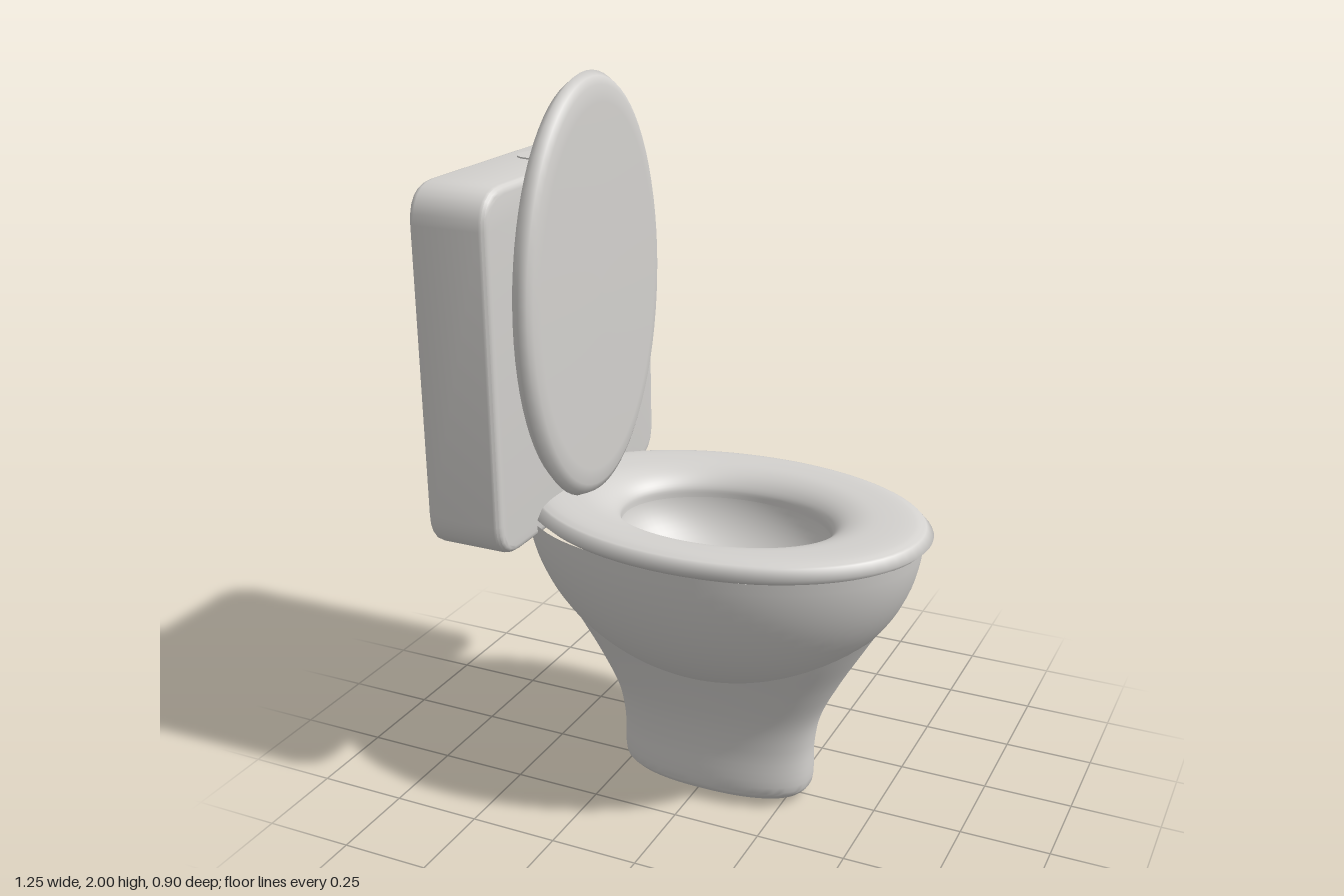
import * as THREE from 'three';
import { toCreasedNormals } from 'three/addons/utils/BufferGeometryUtils.js';

// Skin a stack of oval rings [radiusX, y, radiusZ]; power > 2 squares the oval off
function loft(rings, power = 2, segs = 72) {
  const pos = [], idx = [];
  const bend = v => Math.sign(v) * Math.abs(v) ** (2 / power);
  rings.forEach(([rx, y, rz], r) => {
    for (let i = 0; i < segs; i++) {
      const a = (i / segs) * Math.PI * 2;
      pos.push(rx * bend(Math.cos(a)), y, rz * bend(Math.sin(a)));
      if (r === rings.length - 1) continue;
      const p = r * segs + i, n = r * segs + (i + 1) % segs;
      idx.push(p, p + segs, n, n, p + segs, n + segs);
    }
  });
  const geo = new THREE.BufferGeometry();
  geo.setAttribute('position', new THREE.Float32BufferAttribute(pos, 3));
  geo.setIndex(idx);
  geo.computeVertexNormals();
  return geo;
}

// Round off a coarse list of rings
const smooth = (rings, n) =>
  new THREE.CatmullRomCurve3(rings.map(r => new THREE.Vector3(...r)), false, 'centripetal')
    .getPoints(n).map(v => v.toArray());

export function createModel() {
  const group = new THREE.Group();
  const ceramic = new THREE.MeshStandardMaterial({ color: 0xd4d2cf });
  ceramic.name = 'ceramic';
  const add = (name, geo, x, y, z) => {
    const mesh = new THREE.Mesh(geo, ceramic);
    mesh.name = name;
    mesh.position.set(x, y, z);
    group.add(mesh);
    return mesh;
  };

  // Pedestal: narrow foot flaring up into the bowl
  const foot = [[0.001, 0, 0.001], [0.15, 0.006, 0.06], [0.262, 0.02, 0.112]];
  const stem = smooth([
    [0.262, 0.02, 0.112], [0.283, 0.045, 0.13], [0.288, 0.17, 0.132], [0.305, 0.26, 0.143],
    [0.362, 0.38, 0.178], [0.437, 0.51, 0.225], [0.505, 0.63, 0.255], [0.555, 0.76, 0.26],
  ], 40);
  add('pedestal', toCreasedNormals(loft([...foot, ...stem.slice(1)], 2.3), 0.6), 0.027, 0, 0.012);

  // Bowl: lower part of an ellipsoid
  const bowl = [];
  for (let i = 0; i <= 24; i++) {
    const a = 0.01 + (i / 24) * 1.51;
    bowl.push([0.568 * Math.sin(a), 0.84 - 0.49 * Math.cos(a), 0.388 * Math.sin(a)]);
  }
  add('bowl', loft(bowl), 0.03, 0, 0.01);

  // Seat ring, sharp at the outside and rolling down into the opening
  const seatTop = smooth([
    [0.56, 0.853, 0.38], [0.53, 0.861, 0.355], [0.45, 0.861, 0.31], [0.38, 0.853, 0.266],
    [0.33, 0.832, 0.232], [0.305, 0.805, 0.213], [0.302, 0.78, 0.21],
  ], 24);
  add('seat', loft([[0.48, 0.805, 0.3], [0.555, 0.806, 0.375], [0.58, 0.83, 0.4], ...seatTop]), 0.04, 0, 0);

  // Hollow inside the bowl
  const hollow = [];
  for (let i = 0; i <= 16; i++) {
    const a = (i / 16) * 1.56;
    hollow.push([0.315 * Math.cos(a), 0.8 - 0.2 * Math.sin(a), 0.22 * Math.cos(a)]);
  }
  add('bowlInside', loft(hollow), 0.04, 0, 0);

  // Raised lid: a thin oval shell standing on edge
  const lidRings = [
    [0.001, -0.036, 0.001], [0.42, -0.036, 0.27], [0.52, -0.034, 0.335], [0.56, -0.022, 0.362],
    [0.58, 0.003, 0.379], [0.567, 0.022, 0.366], [0.545, 0.031, 0.35], [0.5, 0.036, 0.32], [0.001, 0.037, 0.001],
  ];
  add('lid', loft(lidRings), -0.349, 1.42, 0.027).rotation.z = -Math.PI / 2 - 0.008;

  // Tank: rounded slab with softened edges
  const w = 0.43, h = 0.47, r = 0.08, bevel = 0.02;
  const outline = new THREE.Shape();
  outline.moveTo(w, -h + r);
  outline.lineTo(w, h - r).quadraticCurveTo(w, h, w - r, h);
  outline.lineTo(-w + r, h).quadraticCurveTo(-w, h, -w, h - r);
  outline.lineTo(-w, -h + r).quadraticCurveTo(-w, -h, -w + r, -h);
  outline.lineTo(w - r, -h).quadraticCurveTo(w, -h, w, -h + r);
  const tank = new THREE.ExtrudeGeometry(outline, {
    depth: 0.185, bevelSize: bevel, bevelThickness: bevel, bevelSegments: 4, curveSegments: 6,
  });
  tank.translate(0, 0, -0.0925).rotateY(Math.PI / 2);
  add('tank', toCreasedNormals(tank, 0.5), -0.5125, 1.27, 0);

  // Flush button
  add('flushButton', new THREE.CylinderGeometry(0.055, 0.055, 0.02, 40), -0.518, 1.754, -0.015);

  return group;
}
